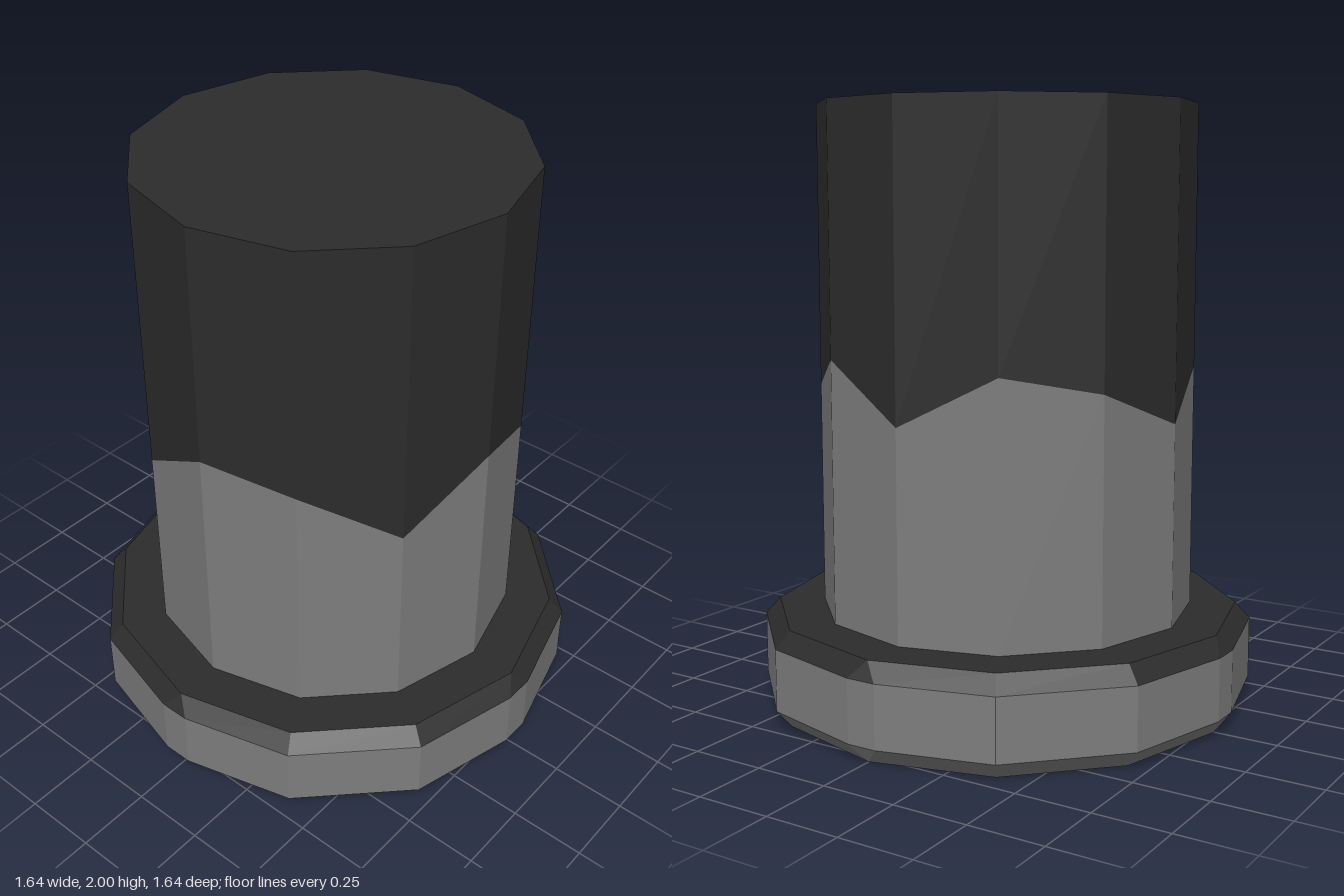
import * as THREE from 'three';

const SIDES = 12;
// Height of the jagged colour border at each corner, starting at the front and going towards +x
const BORDER = [1.16, 1.065, 1.185, 1.005, 1.17, 1.11, 0.985, 1.135, 1.0, 1.195, 1.16, 0.985];
const BORE_DROP = 0.8; // the border inside the bore sits this much lower

const paint = (color) => new THREE.MeshStandardMaterial({ color, flatShading: true });

// Ring of corners; height is a number or a function of the corner index
function ring(radius, height) {
  return Array.from({ length: SIDES }, (_, i) => {
    const a = (i / SIDES) * Math.PI * 2;
    const y = typeof height === 'function' ? height(i) : height;
    return new THREE.Vector3(radius * Math.sin(a), y, radius * Math.cos(a));
  });
}

// Flange ring: the four corners on the axes are doubled, and cut flat when cut > 0
function flangeRing(radius, y, cut = 0) {
  const points = [];
  for (let i = 0; i < SIDES; i++) {
    const a = (i / SIDES) * Math.PI * 2;
    const s = Math.sin(a), c = Math.cos(a);
    if (i % 3) {
      points.push(new THREE.Vector3(radius * s, y, radius * c));
      continue;
    }
    const r = radius - cut * 0.268;
    for (const t of [-cut, cut]) points.push(new THREE.Vector3(r * s + t * c, y, r * c - t * s));
  }
  return points;
}

// Skin joining successive rings; faces outwards when the rings go up
function loft(name, rings, material) {
  const pos = [];
  const triangle = (a, b, c) => {
    if (a.distanceTo(b) < 1e-6 || b.distanceTo(c) < 1e-6 || a.distanceTo(c) < 1e-6) return;
    for (const p of [a, b, c]) pos.push(p.x, p.y, p.z);
  };
  for (let j = 0; j + 1 < rings.length; j++) {
    const low = rings[j], high = rings[j + 1], n = low.length;
    for (let i = 0; i < n; i++) {
      const k = (i + 1) % n;
      triangle(low[i], low[k], high[k]);
      triangle(low[i], high[k], high[i]);
    }
  }
  const geometry = new THREE.BufferGeometry();
  geometry.setAttribute('position', new THREE.Float32BufferAttribute(pos, 3));
  geometry.computeVertexNormals();
  const mesh = new THREE.Mesh(geometry, material);
  mesh.name = name;
  return mesh;
}

export function createModel() {
  const model = new THREE.Group();
  model.name = 'pipe';
  const grey = paint(0x7d7d7d);
  const dark = paint(0x2c2c2c);
  const shade = paint(0x414141);

  const outerBorder = (i) => BORDER[i];
  const innerBorder = (i) => BORDER[i] - BORE_DROP;

  // Upright tube: grey below the jagged border, dark above it, closed on top
  model.add(loft('lowerTube', [ring(0.63, 0.32), ring(0.63, outerBorder)], grey));
  model.add(loft('upperTube', [ring(0.63, outerBorder), ring(0.63, 2), ring(0, 2)], dark));

  // Bevelled foot flange with a dark upper side
  model.add(loft('flange', [
    flangeRing(0.58, 0), flangeRing(0.785, 0),
    flangeRing(0.835, 0.058, 0.05), flangeRing(0.835, 0.265, 0.05),
  ], grey));
  model.add(loft('flangeTop', [
    flangeRing(0.835, 0.265, 0.05), flangeRing(0.785, 0.32), flangeRing(0.62, 0.32),
  ], dark));

  // Hollow bore open at the bottom, with a chamfered mouth
  model.add(loft('boreMouth', [ring(0.525, innerBorder), ring(0.525, 0.055), ring(0.58, 0)], grey));
  model.add(loft('boreInside', [ring(0, 1.2), ring(0.525, 1.2), ring(0.525, innerBorder)], shade));

  return model;
}
